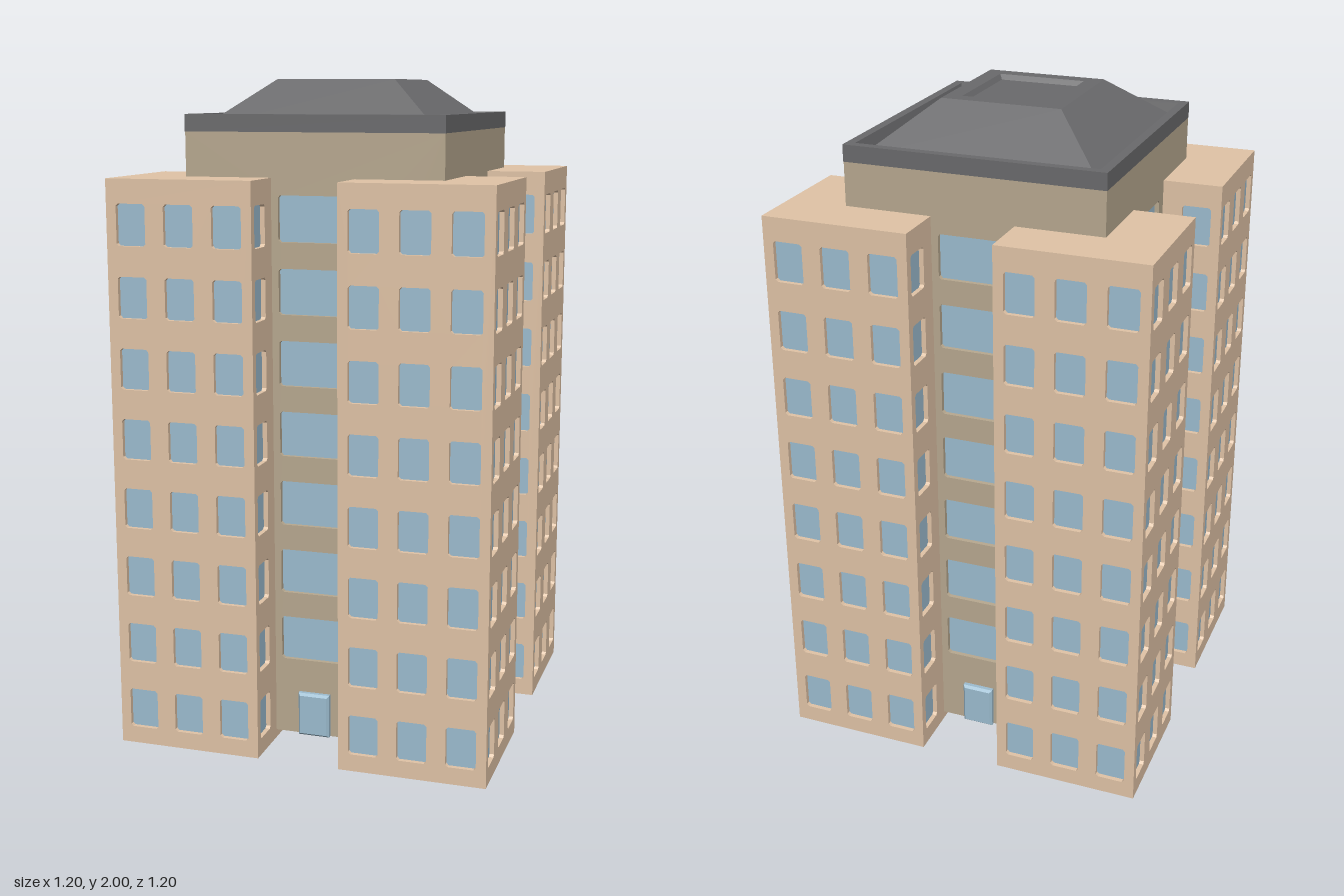
import * as THREE from 'three';
import { mergeGeometries } from 'three/addons/utils/BufferGeometryUtils.js';

const mat = (color, extra = {}) => new THREE.MeshStandardMaterial({ color, ...extra });
const tan = mat(0xe0c3a6);
const stone = mat(0xb7a88f);
const glass = mat(0x9cbccf);
const slate = mat(0x6a6a6c);

const T = 0.015; // window recess depth
const FACES = [0, Math.PI / 2, Math.PI, -Math.PI / 2];

function mesh(name, geometry, material) {
  const m = new THREE.Mesh(geometry, material);
  m.name = name;
  return m;
}

// Rectangle with clipped corners, used for window openings
function openingPoints(cx, cy, w, h, c = 0.007) {
  const x = w / 2, y = h / 2;
  return [[-x + c, -y], [x - c, -y], [x, -y + c], [x, y - c], [x - c, y], [-x + c, y], [-x, y - c], [-x, -y + c]]
    .map(([px, py]) => new THREE.Vector2(cx + px, cy + py));
}

// Wall panel facing +z (outer surface at z = 0) with recessed windows
function facade(w, y0, y1, cols, rows, ww, wh, material) {
  const g = new THREE.Group();
  g.name = 'facade';
  const wall = new THREE.Shape([[-w / 2, y0], [w / 2, y0], [w / 2, y1], [-w / 2, y1]].map(p => new THREE.Vector2(...p)));
  const panes = [];
  for (const x of cols) for (const y of rows) {
    wall.holes.push(new THREE.Path(openingPoints(x, y, ww, wh)));
    panes.push(new THREE.PlaneGeometry(ww, wh).translate(x, y, -T + 0.001));
  }
  const panel = new THREE.ExtrudeGeometry(wall, { depth: T, bevelEnabled: false }).translate(0, 0, -T);
  g.add(mesh('wall', panel, material), mesh('windowPanes', mergeGeometries(panes), glass));
  return g;
}

// Closed stack of rectangular rings [halfX, halfZ, y]
function ringStack(rings) {
  const corner = ([x, z, y], k) => [[x, y, z], [x, y, -z], [-x, y, -z], [-x, y, z]][k % 4];
  const pos = [];
  for (let i = 0; i < rings.length - 1; i++) for (let k = 0; k < 4; k++) {
    const a = corner(rings[i], k), b = corner(rings[i], k + 1);
    const c = corner(rings[i + 1], k + 1), d = corner(rings[i + 1], k);
    pos.push(...a, ...b, ...c, ...a, ...c, ...d);
  }
  const geo = new THREE.BufferGeometry();
  geo.setAttribute('position', new THREE.Float32BufferAttribute(pos, 3));
  geo.computeVertexNormals();
  return geo;
}

// Solid body inside the wall panels
function innerBody(w, d, y0, y1, material) {
  return mesh('body', new THREE.BoxGeometry(w - 2 * T, y1 - y0, d - 2 * T).translate(0, (y0 + y1) / 2, 0), material);
}

// Place a part on the side of a w x d block that faces angle a
function placeOnSide(part, a, w, d) {
  part.rotation.y = a;
  part.position.x = Math.sin(a) * w / 2;
  part.position.z = Math.cos(a) * d / 2;
  return part;
}

function cornerTower(sx, sz) {
  const W = 0.445, D = 0.419, H = 1.72;
  const g = new THREE.Group();
  g.name = 'cornerTower';
  g.position.set(sx * 0.3485, 0, sz * 0.3625);
  g.add(innerBody(W, D, 0, H, tan));
  const rows = Array.from({ length: 8 }, (_, i) => 0.113 + i * 0.2107);
  FACES.forEach((a, i) => {
    const side = i % 2 === 1;
    const step = side ? 0.1425 : 0.147;
    const outward = Math.sin(a) * sx + Math.cos(a) * sz > 0;
    // inner faces only show the column beyond the core
    const outer = Math.sign(Math.cos(a) * sx - Math.sin(a) * sz);
    const cols = outward ? [-step, 0, step] : [outer * step];
    const f = facade(side ? D - 2 * T : W, 0, H, cols, rows, side ? 0.085 : 0.09, 0.122, tan);
    g.add(placeOnSide(f, a, W, D));
  });
  return g;
}

function centralCore() {
  const W = 0.78, D = 0.816, y0 = 0.025, y1 = 1.85;
  const g = new THREE.Group();
  g.name = 'centralCore';
  g.add(innerBody(W, D, y0, y1, stone));
  const rows = Array.from({ length: 7 }, (_, i) => 0.329 + i * 0.2123);
  const doorShape = ringStack([[0.049, 0.0675, 0], [0.049, 0.0675, 0.012], [0.042, 0.0605, 0.02], [0, 0, 0.02]])
    .rotateX(Math.PI / 2).translate(0, y0 + 0.0675, 0);
  FACES.forEach((a, i) => {
    const side = i % 2 === 1;
    const f = facade(side ? D - 2 * T : W, y0, y1, [0], rows, side ? 0.225 : 0.21, 0.135, stone);
    g.add(placeOnSide(f, a, W, D), placeOnSide(mesh('door', doorShape, glass), a, W, D));
  });
  return g;
}

export function createModel() {
  const model = new THREE.Group();
  model.name = 'apartmentBlock';
  const building = new THREE.Group();
  building.name = 'building';
  building.rotation.y = -0.053; // the block stands slightly turned
  for (const sx of [-1, 1]) for (const sz of [-1, 1]) building.add(cornerTower(sx, sz));
  building.add(centralCore());
  // Parapet, hipped slopes and the shallow recess on the flat top
  building.add(mesh('roof', ringStack([
    [0.391, 0.409, 1.85], [0.391, 0.409, 1.9], [0.364, 0.382, 1.9], [0.355, 0.373, 1.86],
    [0.182, 0.19, 2], [0.134, 0.147, 2], [0.125, 0.138, 1.985], [0, 0, 1.985],
  ]), slate));
  model.add(building);
  return model;
}
